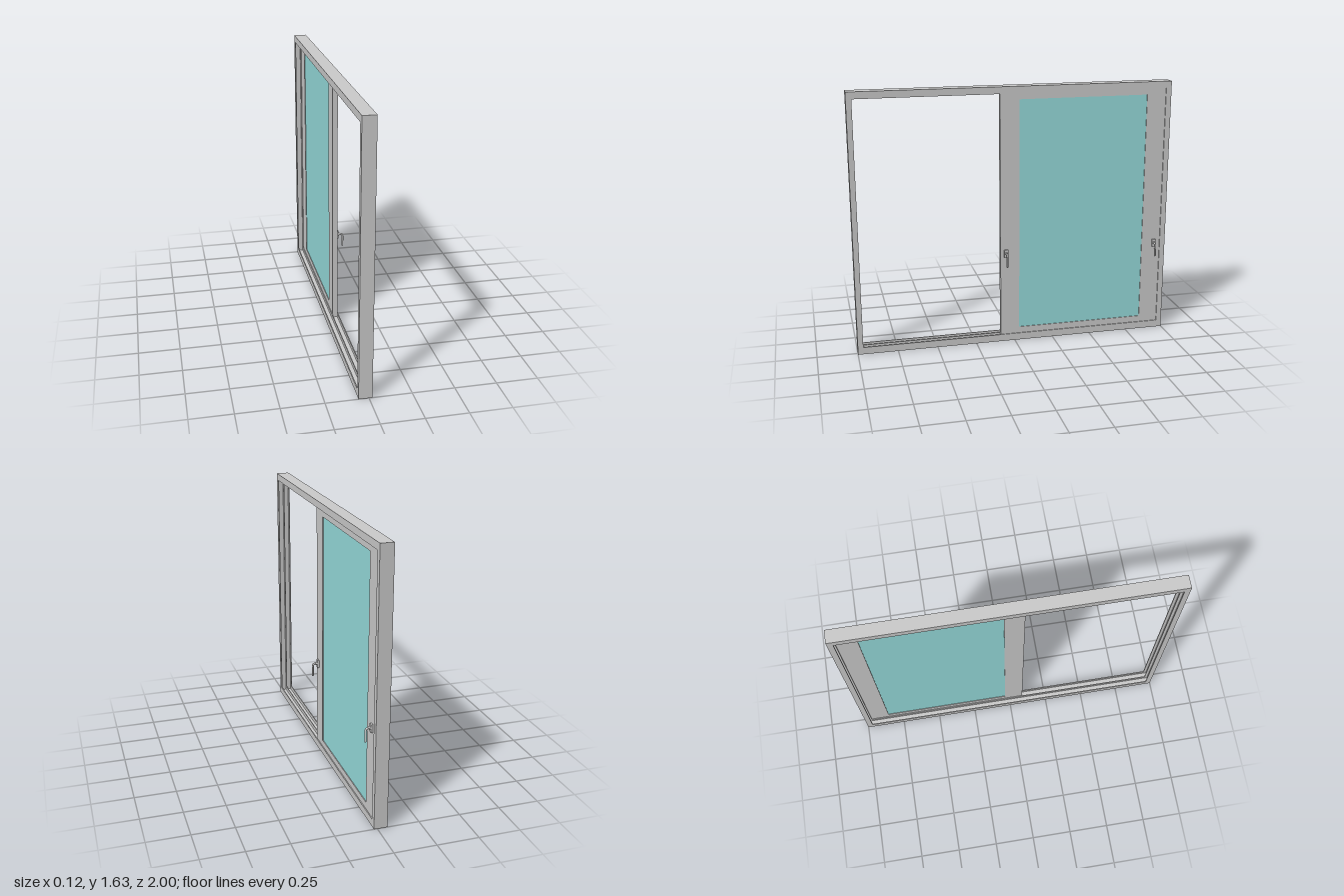
import * as THREE from 'three';

const H = 1.635; // overall height

export function createModel() {
  const group = new THREE.Group();
  const grey = new THREE.MeshStandardMaterial({ color: 0xcccccc });
  const glassMat = new THREE.MeshStandardMaterial({ color: 0x96dcdc });

  const add = (parent, name, geometry, material = grey) => {
    const mesh = new THREE.Mesh(geometry, material);
    mesh.name = name;
    parent.add(mesh);
    return mesh;
  };
  // Box given by its min and max corners
  const box = (x0, x1, y0, y1, z0, z1) =>
    new THREE.BoxGeometry(x1 - x0, y1 - y0, z1 - z0)
      .translate((x0 + x1) / 2, (y0 + y1) / 2, (z0 + z1) / 2);

  // Outer frame: a two-track profile swept around four mitred corners
  add(group, 'outerFrame', frameGeometry());

  // Sash sitting in the front track
  const sash = new THREE.Group();
  sash.name = 'sash';
  group.add(sash);
  const shape = rect(-0.09, 0.975, 0.025, H - 0.025);
  shape.holes.push(rect(0.03, 0.845, 0.085, 1.555));
  const sashGeo = new THREE.ExtrudeGeometry(shape, { depth: 0.031, bevelEnabled: false });
  sashGeo.rotateY(Math.PI / 2).translate(-0.0175, 0, 0);
  add(sash, 'sashFrame', sashGeo);
  add(sash, 'glass', box(-0.014, 0.009, 0.08, 1.56, -0.85, -0.025), glassMat);

  // Lever handles on both stiles
  for (const z of [0.055, -0.925]) {
    const handle = new THREE.Group();
    handle.name = 'handle';
    handle.position.set(0, 0, z);
    sash.add(handle);
    add(handle, 'handlePlate', box(0.012, 0.025, 0.563, 0.613, -0.012, 0.012));
    add(handle, 'handleCollar',
      new THREE.CylinderGeometry(0.009, 0.009, 0.01, 16).rotateZ(Math.PI / 2).translate(0.029, 0.59, 0));
    const path = new THREE.CurvePath();
    const v = (x, y) => new THREE.Vector3(x, y, 0);
    path.add(new THREE.LineCurve3(v(0.02, 0.59), v(0.036, 0.59)));
    path.add(new THREE.QuadraticBezierCurve3(v(0.036, 0.59), v(0.052, 0.59), v(0.052, 0.574)));
    path.add(new THREE.LineCurve3(v(0.052, 0.574), v(0.052, 0.512)));
    add(handle, 'handleLever', new THREE.TubeGeometry(path, 32, 0.006, 12));
    add(handle, 'handleTip',
      new THREE.CylinderGeometry(0.006, 0.005, 0.004, 12).translate(0.052, 0.51, 0));
  }
  return group;
}

function rect(x0, x1, y0, y1) {
  return new THREE.Shape([[x0, y0], [x1, y0], [x1, y1], [x0, y1]].map(p => new THREE.Vector2(...p)));
}

function frameGeometry() {
  // Profile as [x, share of the member's width]; grooves lie between three ridges
  const profile = [
    [-0.06, 0], [0.02, 0], [0.02, 1], [0.014, 1], [0.014, 0.45], [-0.018, 0.45],
    [-0.018, 1], [-0.023, 1], [-0.023, 0.45], [-0.054, 0.45], [-0.054, 1], [-0.06, 1],
  ];
  const corners = [[1, 0], [-1, 0], [-1, 1], [1, 1]]; // [side of z, bottom or top]
  const point = ([x, f], [sz, top]) => [x, top ? H - 0.043 * f : 0.045 * f, sz * (1 - 0.034 * f)];
  const pos = [];
  corners.forEach((c, k) => {
    const next = corners[(k + 1) % 4];
    profile.forEach((p, i) => {
      const q = profile[(i + 1) % profile.length];
      const a = point(p, c), b = point(p, next), d = point(q, next), e = point(q, c);
      pos.push(...a, ...b, ...d, ...a, ...d, ...e);
    });
  });
  const geo = new THREE.BufferGeometry();
  geo.setAttribute('position', new THREE.Float32BufferAttribute(pos, 3));
  geo.computeVertexNormals();
  return geo;
}
